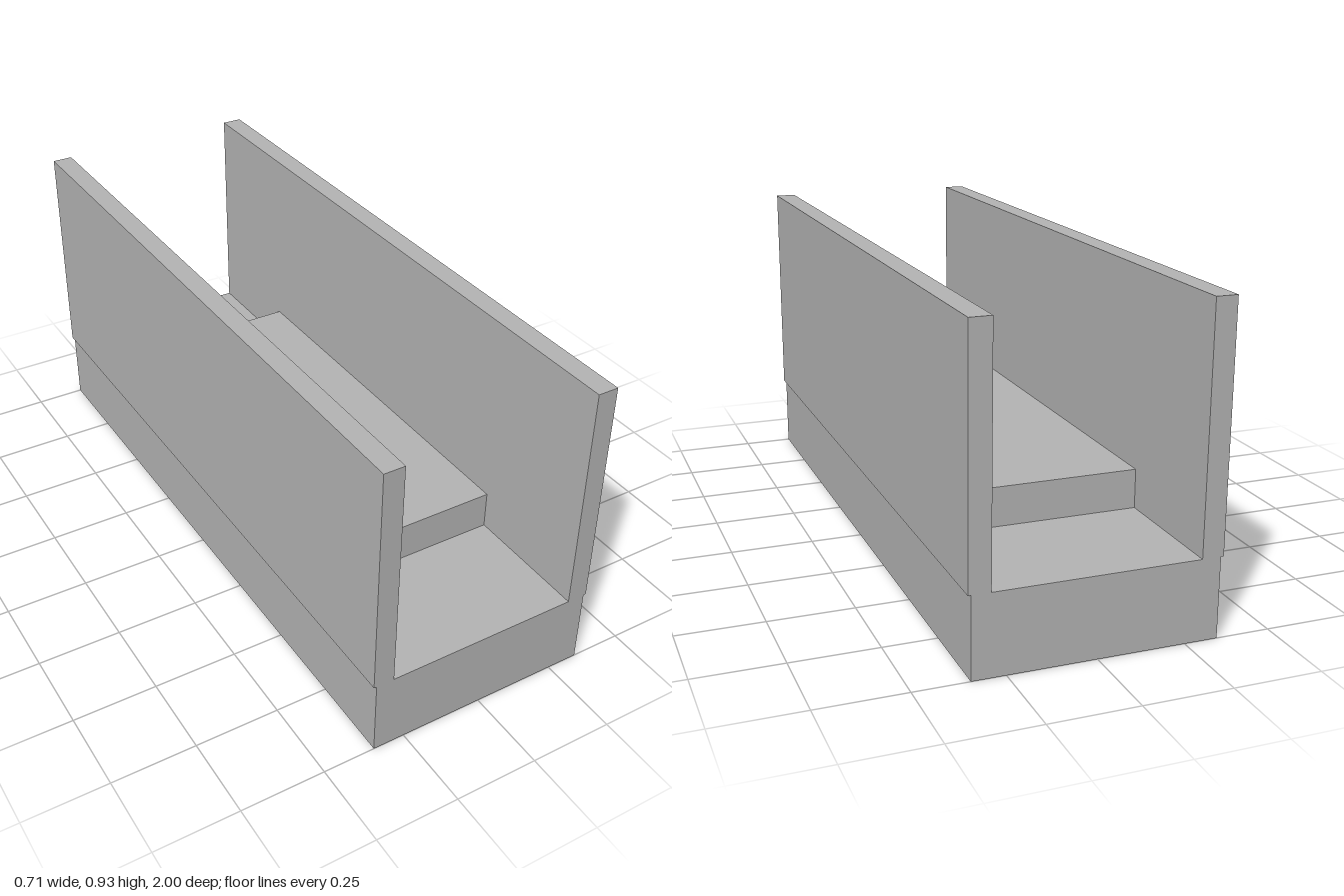
import * as THREE from 'three';

export function createModel() {
  const model = new THREE.Group();
  const grey = new THREE.MeshStandardMaterial({ color: 0xb3b3b3, side: THREE.DoubleSide });
  grey.name = 'grey';

  const add = (name, geometry, x, y, z) => {
    const mesh = new THREE.Mesh(geometry, grey);
    mesh.name = name;
    mesh.position.set(x, y, z);
    model.add(mesh);
    return mesh;
  };

  const length = 2, baseWidth = 0.69, baseHeight = 0.232;
  const wallThickness = 0.062, wallHeight = 0.693, wallX = 0.322;

  // Hollow base: a thin shell, closed on top and open underneath
  add('baseTop', new THREE.PlaneGeometry(baseWidth, length), 0, baseHeight, 0).rotation.x = -Math.PI / 2;
  for (const s of [1, -1]) {
    const side = add(s > 0 ? 'baseLeftSide' : 'baseRightSide',
      new THREE.PlaneGeometry(length, baseHeight), s * baseWidth / 2, baseHeight / 2, 0);
    side.rotation.y = s * Math.PI / 2;
    const end = add(s > 0 ? 'baseFrontEnd' : 'baseBackEnd',
      new THREE.PlaneGeometry(baseWidth, baseHeight), 0, baseHeight / 2, s * length / 2);
    end.rotation.y = s > 0 ? 0 : Math.PI;

    // Tall side wall, slightly overhanging the base
    add(s > 0 ? 'leftWall' : 'rightWall',
      new THREE.BoxGeometry(wallThickness, wallHeight, length),
      s * wallX, baseHeight + wallHeight / 2, 0);
  }

  // Raised platform between the walls
  add('platform', new THREE.BoxGeometry(0.582, 0.115, 1.224), 0, baseHeight + 0.0575, 0);

  return model;
}
